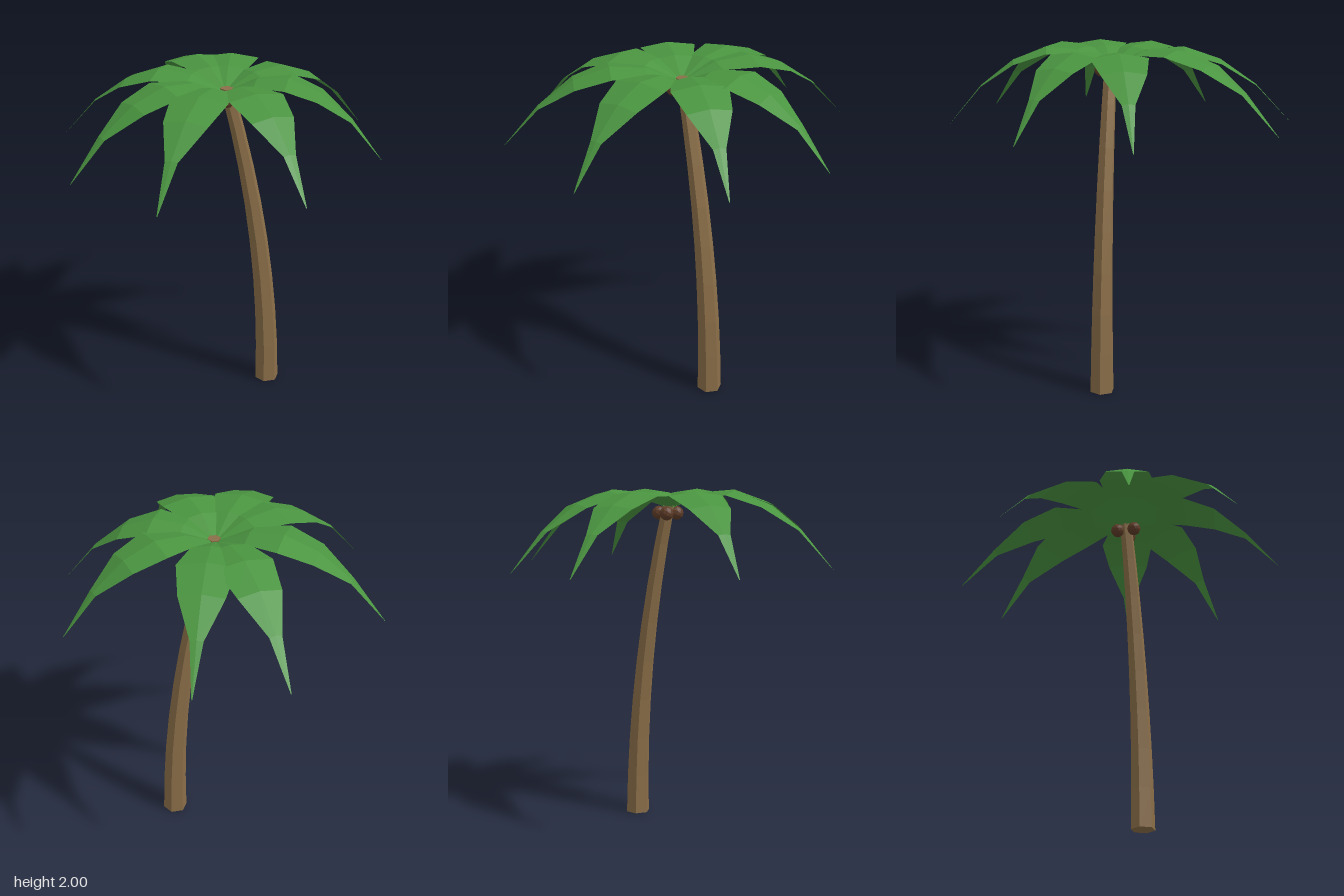
import * as THREE from 'three';

const mat = (name, color, side = THREE.FrontSide) =>
  new THREE.MeshStandardMaterial({ name, color, side, flatShading: true });

const CROWN = { x: 0.02, z: 0.047 };

// Leaf stations from crown to tip: [fraction of length, height, half width]
const STATIONS = [
  [0, 1.9, 0.02], [0.2, 1.985, 0.11], [0.4, 2.0, 0.162],
  [0.6, 1.93, 0.125], [0.8, 1.785, 0.036], [1, 1.56, 0.002],
];
const FOLD = 0.15; // how far the leaf edges drop per unit of half width

// Leaf tips in plan [x, z]
const TIPS = [
  [0.12, -0.99], [0.59, -0.81], [0.955, 0.025], [0.7, 0.625],
  [-0.02, 0.98], [-0.735, 0.71], [-0.96, 0.12], [-0.68, -0.63],
];

// Hexagonal trunk, tapered and leaning in a gentle curve
function trunkGeometry() {
  const height = 1.92;
  const geo = new THREE.CylinderGeometry(0.038, 0.073, height, 6, 8, false, THREE.MathUtils.degToRad(16));
  geo.translate(0, height / 2, 0);
  const p = geo.attributes.position;
  for (let i = 0; i < p.count; i++) {
    const t = (p.getY(i) / height) ** 2;
    p.setX(i, p.getX(i) + 0.278 - 0.25 * t);
    p.setZ(i, p.getZ(i) + 0.13 - 0.08 * t);
  }
  geo.computeVertexNormals();
  return geo;
}

// Drooping leaf with a raised midrib, running from the crown to the given tip
function frondGeometry([tx, tz]) {
  const dx = tx - CROWN.x, dz = tz - CROWN.z;
  const len = Math.hypot(dx, dz);
  const sx = -dz / len, sz = dx / len; // sideways direction
  const rows = STATIONS.map(([t, y, w]) => [-1, 0, 1].map((s) => [
    CROWN.x + dx * t + sx * w * s,
    y - Math.abs(s) * w * FOLD,
    CROWN.z + dz * t + sz * w * s,
  ]));
  const pos = [];
  for (let i = 0; i < rows.length - 1; i++) {
    for (let j = 0; j < 2; j++) {
      const a = rows[i][j], b = rows[i][j + 1], c = rows[i + 1][j + 1], d = rows[i + 1][j];
      pos.push(...a, ...b, ...c, ...a, ...c, ...d);
    }
  }
  const geo = new THREE.BufferGeometry();
  geo.setAttribute('position', new THREE.Float32BufferAttribute(pos, 3));
  geo.computeVertexNormals();
  return geo;
}

export function createModel() {
  const bark = mat('bark brown', 0x8a6e48);
  const leaf = mat('leaf green', 0x4a9440, THREE.DoubleSide);
  const husk = mat('coconut brown', 0x5f3d28);

  const model = new THREE.Group();
  model.name = 'palmTree';
  const add = (name, geo, material, parent = model) => {
    const mesh = new THREE.Mesh(geo, material);
    mesh.name = name;
    parent.add(mesh);
    return mesh;
  };

  add('trunk', trunkGeometry(), bark);

  const fronds = new THREE.Group();
  fronds.name = 'fronds';
  model.add(fronds);
  TIPS.forEach((tip, i) => add(`frond${i + 1}`, frondGeometry(tip), leaf, fronds));

  // Coconuts in a ring under the crown
  const coconuts = new THREE.Group();
  coconuts.name = 'coconuts';
  model.add(coconuts);
  const nut = new THREE.IcosahedronGeometry(0.042, 1);
  for (let i = 0; i < 3; i++) {
    const a = THREE.MathUtils.degToRad(10 + i * 120);
    add(`coconut${i + 1}`, nut, husk, coconuts)
      .position.set(0.04 + 0.06 * Math.cos(a), 1.865, 0.055 + 0.06 * Math.sin(a));
  }
  return model;
}
